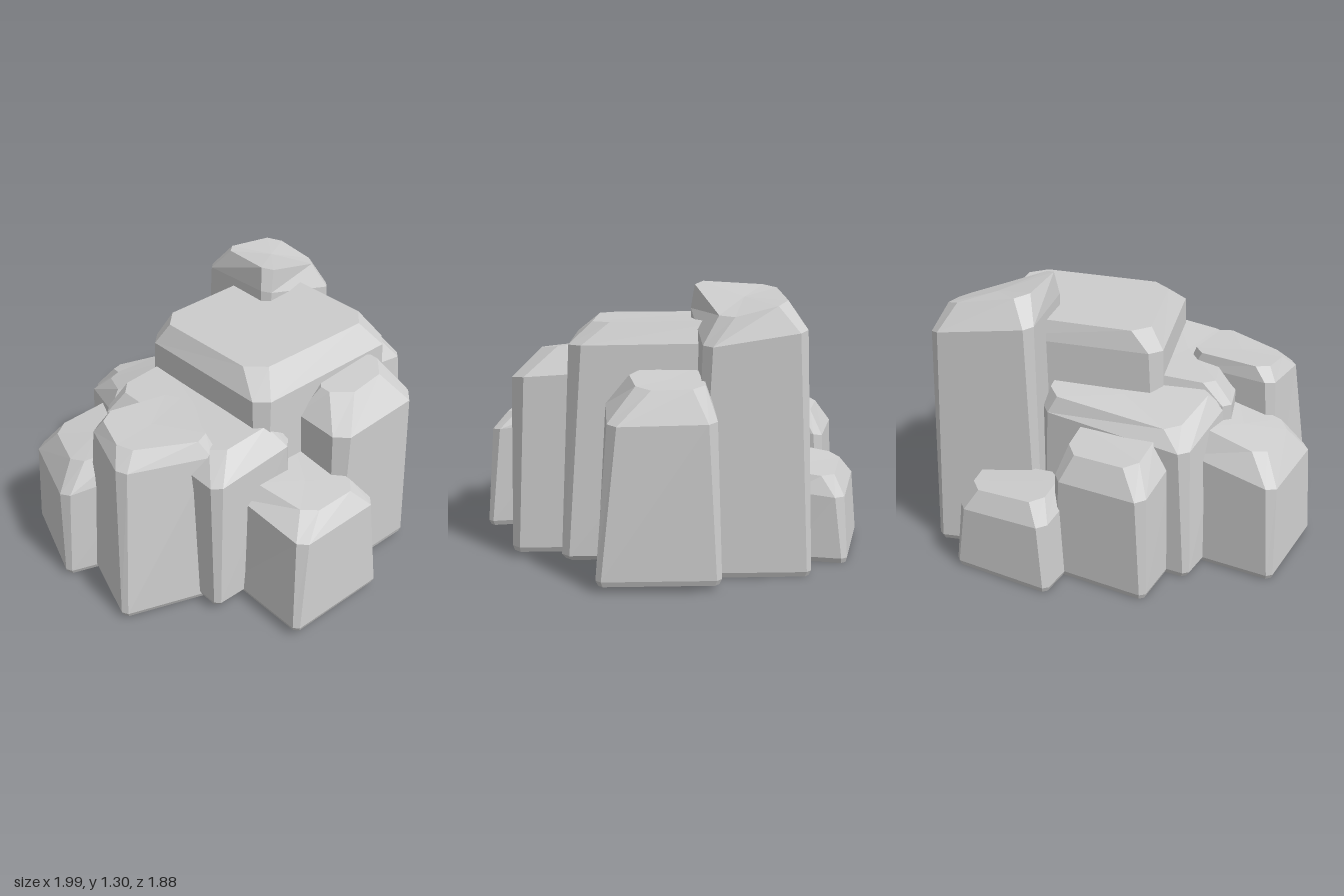
import * as THREE from 'three';

const material = new THREE.MeshStandardMaterial({ color: 0xcccccc, flatShading: true });

// Cut each corner of a quad, giving an eight-point ring
function chamfer(quad, c) {
  return quad.flatMap((p, i) => [quad[(i + 3) % 4], quad[(i + 1) % 4]].map((q) => {
    const v = q.clone().sub(p);
    return p.clone().addScaledVector(v, Math.min(c / v.length(), 0.4));
  }));
}

// Hewn rock: corners run back-left, back-right, front-right, front-left.
// foot: [x, z] per corner; crown: [x, z, y] per corner; drop: shoulder depth.
function rock(name, foot, crown, { y0 = 0.02, drop = 0.1, spread = 0.3, cut = 0.04 } = {}) {
  const cx = foot.reduce((s, p) => s + p[0], 0) / 4;
  const cz = foot.reduce((s, p) => s + p[1], 0) / 4;
  const at = (i, y, k) => new THREE.Vector3(cx + (foot[i][0] - cx) * k, y, cz + (foot[i][1] - cz) * k);
  const idx = [0, 1, 2, 3];
  const top = idx.map((i) => new THREE.Vector3(crown[i][0], crown[i][2], crown[i][1]));
  const shoulder = idx.map((i) => {
    const p = at(i, 0, 1).lerp(top[i], spread);
    p.y = top[i].y - drop;
    return p;
  });
  const rings = [
    chamfer(idx.map((i) => at(i, y0, 0.96)), cut * 0.5),
    chamfer(idx.map((i) => at(i, y0 + 0.025, 1)), cut * 0.6),
    chamfer(shoulder, cut),
    chamfer(top, cut * 1.4),
  ];
  const pos = [];
  const tri = (...ps) => ps.forEach((p) => pos.push(p.x, p.y, p.z));
  const middle = (ring) => ring.reduce((s, p) => s.add(p), new THREE.Vector3()).divideScalar(8);
  const low = middle(rings[0]);
  const high = middle(rings[3]);
  for (let i = 0; i < 8; i++) {
    const j = (i + 1) % 8;
    for (let r = 0; r < 3; r++) {
      const a = rings[r][i], b = rings[r][j], A = rings[r + 1][i], B = rings[r + 1][j];
      tri(b, a, A);
      tri(b, A, B);
    }
    tri(low, rings[0][i], rings[0][j]);
    tri(high, rings[3][j], rings[3][i]);
  }
  const geometry = new THREE.BufferGeometry();
  geometry.setAttribute('position', new THREE.Float32BufferAttribute(pos, 3));
  geometry.computeVertexNormals();
  const mesh = new THREE.Mesh(geometry, material);
  mesh.name = name;
  return mesh;
}

export function createModel() {
  const group = new THREE.Group();
  group.name = 'rockCluster';
  group.add(
    // Central mass and the tower behind it
    rock('mainRock',
      [[-0.28, -0.38], [0.64, -0.38], [0.64, 0.53], [-0.28, 0.53]],
      [[-0.19, -0.35, 1.1], [0.58, -0.34, 1.14], [0.58, 0.38, 1.13], [-0.18, 0.36, 1.1]],
      { drop: 0.1, cut: 0.06 }),
    rock('towerRock',
      [[0.29, -0.61], [0.83, -0.61], [0.83, -0.08], [0.29, -0.08]],
      [[0.36, -0.48, 1.28], [0.74, -0.5, 1.23], [0.78, -0.2, 1.16], [0.31, -0.09, 1.3]],
      { drop: 0.12, y0: 0 }),
    // Right side
    rock('rightRock',
      [[0.55, -0.19], [1, -0.19], [1, 0.36], [0.62, 0.36]],
      [[0.6, -0.13, 0.92], [0.9, -0.12, 0.88], [0.88, 0.17, 0.87], [0.64, 0.22, 0.92]],
      { y0: 0.03, drop: 0.14 }),
    // Front
    rock('frontColumn',
      [[-0.01, 0.4], [0.54, 0.4], [0.54, 0.77], [-0.01, 0.77]],
      [[0.11, 0.42, 0.98], [0.46, 0.42, 1.02], [0.47, 0.62, 1.0], [0.12, 0.64, 0.96]],
      { y0: 0.03, drop: 0.13, spread: 0.1, cut: 0.06 }),
    rock('frontLowRock',
      [[-0.43, 0.45], [0.06, 0.45], [0.13, 0.94], [-0.43, 0.94]],
      [[-0.34, 0.48, 0.65], [0.04, 0.48, 0.65], [0.05, 0.84, 0.61], [-0.26, 0.83, 0.59]],
      { y0: 0.03, drop: 0.08 }),
    // Left side
    rock('leftInnerRock',
      [[-0.6, -0.33], [-0.1, -0.33], [-0.1, 0.57], [-0.6, 0.57]],
      [[-0.5, -0.3, 0.84], [-0.15, -0.3, 0.88], [-0.15, 0.47, 0.88], [-0.48, 0.44, 0.82]],
      { y0: 0.03, drop: 0.1, spread: 0.15 }),
    rock('leftFrontRock',
      [[-0.82, -0.2], [-0.3, -0.04], [-0.43, 0.5], [-0.97, 0.31]],
      [[-0.73, -0.13, 0.87], [-0.35, -0.02, 0.89], [-0.47, 0.38, 0.87], [-0.81, 0.15, 0.84]],
      { y0: 0.01, drop: 0.07, spread: 0.6 }),
    rock('leftBackRock',
      [[-0.84, -0.64], [-0.36, -0.5], [-0.5, 0.04], [-1, -0.13]],
      [[-0.76, -0.52, 0.6], [-0.42, -0.43, 0.7], [-0.55, -0.04, 0.68], [-0.87, -0.18, 0.61]],
      { y0: 0, drop: 0.13, spread: 0.2 }),
    // Back
    rock('backLedge',
      [[-0.45, -0.7], [0.32, -0.5], [0.25, -0.2], [-0.6, -0.25]],
      [[-0.36, -0.59, 0.72], [0.28, -0.47, 0.8], [0.25, -0.25, 0.86], [-0.5, -0.29, 0.82]],
      { y0: 0, drop: 0.08 }),
    rock('backRock',
      [[-0.28, -0.91], [0.2, -0.77], [0.1, -0.45], [-0.38, -0.55]],
      [[-0.21, -0.8, 0.62], [0.14, -0.7, 0.62], [0.08, -0.48, 0.7], [-0.28, -0.56, 0.69]],
      { y0: 0, drop: 0.12, spread: 0.2 }),
    rock('backLowRock',
      [[0.17, -0.95], [0.67, -0.8], [0.6, -0.5], [0.08, -0.62]],
      [[0.22, -0.85, 0.42], [0.6, -0.74, 0.4], [0.57, -0.52, 0.43], [0.17, -0.62, 0.46]],
      { y0: 0, drop: 0.09, spread: 0.3 }),
  );
  return group;
}
